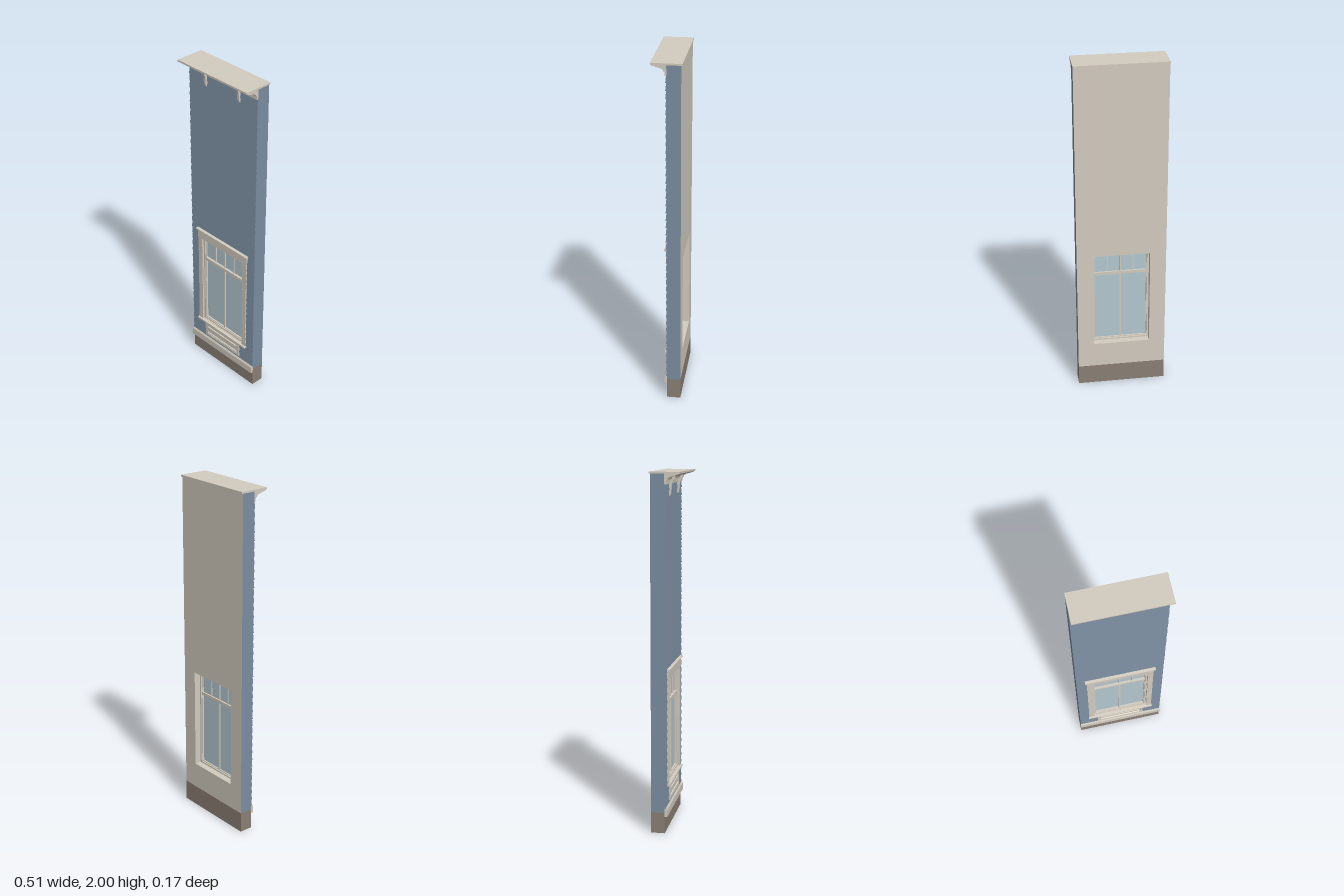
import * as THREE from 'three';

const mat = (name, color) => {
  const m = new THREE.MeshStandardMaterial({ color });
  m.name = name;
  return m;
};

export function createModel() {
  const trim = mat('trim', 0xd2cbbf);
  const siding = mat('siding', 0x7b8da0);
  const stone = mat('foundation', 0x8a7f74);
  const glass = mat('glass', 0xb4c8d0);

  const model = new THREE.Group();
  model.name = 'wallSection';
  const W = 0.512, BACK = -0.077;

  const add = (name, geo, material, parent = model) => {
    const mesh = new THREE.Mesh(geo, material);
    mesh.name = name;
    parent.add(mesh);
    return mesh;
  };
  // Box given by its limits on each axis
  const box = (name, x0, x1, y0, y1, z0, z1, material = trim, parent = model) =>
    add(name, new THREE.BoxGeometry(x1 - x0, y1 - y0, z1 - z0)
      .translate((x0 + x1) / 2, (y0 + y1) / 2, (z0 + z1) / 2), material, parent);
  // Side profile of [z, y] points drawn out along x
  const profile = (name, pts, x0, x1, material = trim, parent = model) => {
    const shape = new THREE.Shape(pts.map(p => new THREE.Vector2(p[0], p[1])));
    const geo = new THREE.ExtrudeGeometry(shape, { depth: x1 - x0, bevelEnabled: false });
    geo.rotateY(-Math.PI / 2).translate(x1, 0, 0);
    return add(name, geo, material, parent);
  };
  const group = name => {
    const g = new THREE.Group();
    g.name = name;
    model.add(g);
    return g;
  };

  // Wall core with the window opening
  const wall = new THREE.Shape();
  wall.moveTo(-W / 2, 0.12).lineTo(W / 2, 0.12).lineTo(W / 2, 1.99).lineTo(-W / 2, 1.99).closePath();
  const hole = new THREE.Path();
  hole.moveTo(-0.168, 0.268).lineTo(-0.168, 0.865).lineTo(0.168, 0.865).lineTo(0.168, 0.268).closePath();
  wall.holes.push(hole);
  const wallGeo = new THREE.ExtrudeGeometry(wall, { depth: -BACK, bevelEnabled: false });
  add('wall', wallGeo.translate(0, 0, BACK), [trim, siding]);

  // Foundation and water table
  box('foundation', -W / 2, W / 2, 0, 0.12, BACK, 0, stone);
  profile('waterTable', [[0, 0.095], [0.014, 0.095], [0.014, 0.136], [0.009, 0.145], [0, 0.145]], -W / 2, W / 2);

  // Clapboards in three bands; the middle band runs either side of the window
  const boards = group('clapboards');
  const band = (y0, y1, n, spans) => {
    const h = (y1 - y0) / n;
    for (let i = 0; i < n; i++) {
      const y = y0 + i * h;
      for (const [x0, x1] of spans)
        profile('clapboard', [[-0.001, y], [0.006, y], [0.001, y + h], [-0.001, y + h]], x0, x1, siding, boards);
    }
  };
  band(0.142, 0.268, 3, [[-W / 2, W / 2]]);
  band(0.268, 0.865, 14, [[-W / 2, -0.175], [0.175, W / 2]]);
  band(0.865, 1.94, 25, [[-W / 2, W / 2]]);

  // Cornice: roof slab, coved crown, frieze and brackets
  const cornice = group('cornice');
  box('corniceSlab', -0.257, 0.257, 1.99, 2, -0.084, 0.084, trim, cornice);
  profile('crown', [[0, 1.991], [0, 1.956], [0.016, 1.956], [0.02, 1.967], [0.032, 1.973],
    [0.055, 1.979], [0.076, 1.986], [0.08, 1.991]], -W / 2, W / 2, trim, cornice);
  box('frieze', -W / 2, W / 2, 1.933, 1.957, 0, 0.009, trim, cornice);
  for (const x of [-0.125, 0.125])
    profile('bracket', [[0, 1.87], [0.01, 1.87], [0.014, 1.885], [0.016, 1.915], [0.021, 1.938],
      [0.034, 1.956], [0.036, 1.975], [0, 1.975]], x - 0.007, x + 0.007, trim, cornice);

  // Window surround
  const surround = group('windowSurround');
  for (const s of [-1, 1]) {
    const a = 0.197 * s, b = 0.166 * s;
    box('sideCasing', Math.min(a, b), Math.max(a, b), 0.268, 0.866, 0, 0.01, trim, surround);
  }
  box('header', -0.2, 0.2, 0.865, 0.915, 0, 0.012, trim, surround);
  profile('headerCap', [[0, 0.912], [0.014, 0.912], [0.021, 0.919], [0.021, 0.925], [0, 0.927]],
    -0.207, 0.207, trim, surround);
  profile('sill', [[-0.03, 0.257], [0.02, 0.257], [0.02, 0.267], [-0.03, 0.272]], -0.201, 0.201, trim, surround);

  // Rectangular ring used for the jamb, sash and panel border
  const ring = (name, x, y0, y1, t, z0, z1, parent) => {
    box(name + 'Left', x - t, x, y0, y1, z0, z1, trim, parent);
    box(name + 'Right', -x, t - x, y0, y1, z0, z1, trim, parent);
    box(name + 'Top', t - x, x - t, y1 - t, y1, z0, z1, trim, parent);
    box(name + 'Bottom', t - x, x - t, y0, y0 + t, z0, z1, trim, parent);
  };

  // Window: jamb lining, sash, bars and glass
  const win = group('window');
  ring('jamb', 0.169, 0.267, 0.866, 0.005, BACK, 0.002, win);
  ring('frame', 0.165, 0.27, 0.862, 0.011, -0.038, -0.002, win);
  ring('sash', 0.156, 0.28, 0.852, 0.006, -0.03, -0.008, win);
  box('transom', -0.156, 0.156, 0.713, 0.731, -0.032, -0.004, trim, win);
  box('meetingStile', -0.005, 0.005, 0.284, 0.715, -0.03, -0.01, trim, win);
  for (const x of [-0.074, 0, 0.074])
    box('muntin', x - 0.003, x + 0.003, 0.73, 0.848, -0.028, -0.012, trim, win);
  box('glassPane', -0.153, 0.153, 0.283, 0.85, -0.022, -0.018, glass, win);

  // Apron panel below the window with two raised mouldings
  const apron = group('apronPanel');
  box('panelField', -0.144, 0.144, 0.158, 0.246, 0, 0.007, trim, apron);
  ring('panelBorder', 0.144, 0.158, 0.246, 0.014, 0.005, 0.01, apron);
  for (const y of [0.182, 0.224])
    profile('panelMoulding', [[0.006, y - 0.005], [0.013, y - 0.003], [0.013, y + 0.002], [0.006, y + 0.005]],
      -0.124, 0.124, trim, apron);

  return model;
}
